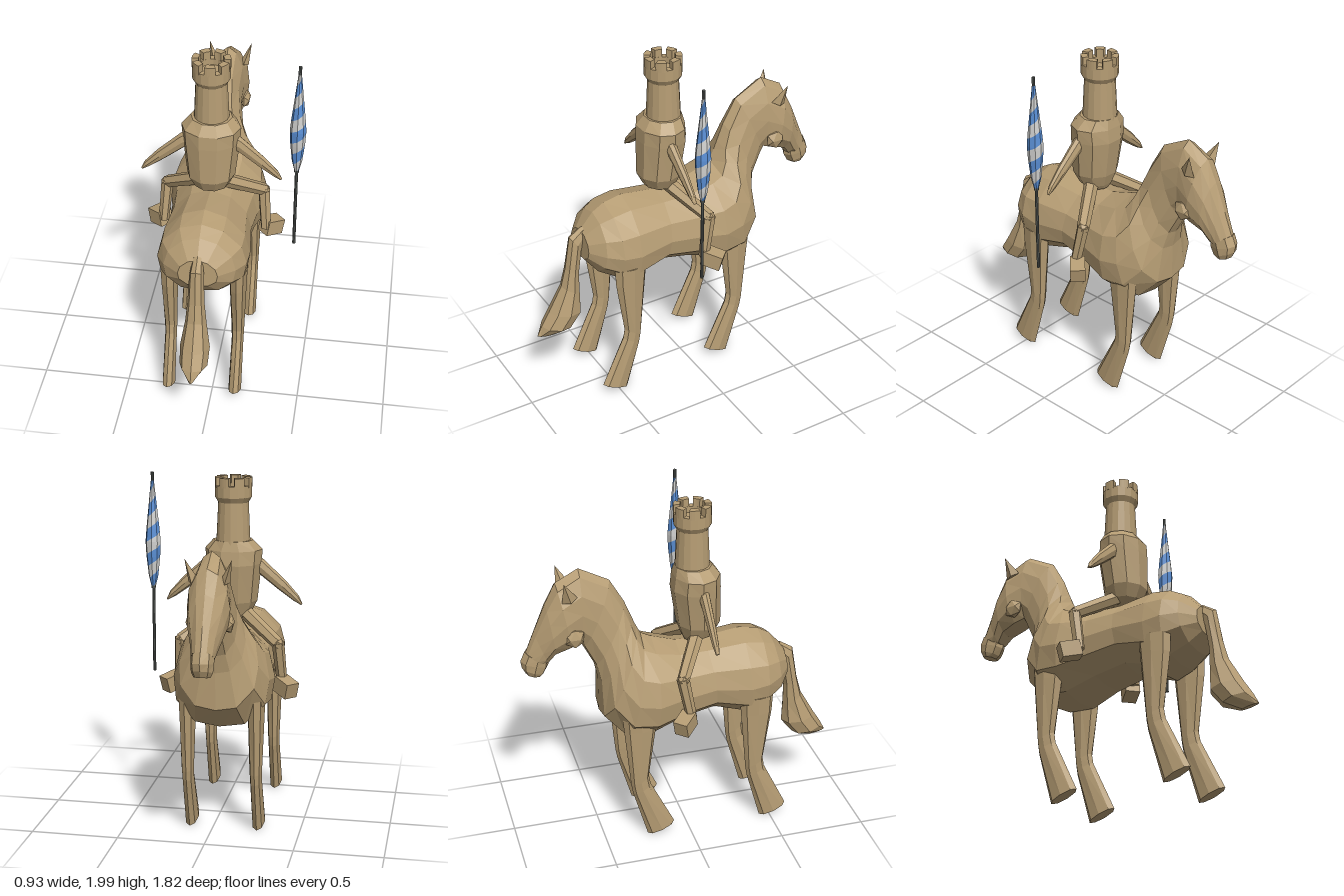
import * as THREE from 'three';

const mat = (name, color) => Object.assign(new THREE.MeshStandardMaterial({ color }), { name });
const MID = -0.06; // x of the rider and horse centre plane

// Flat-shaded mesh
function flat(name, geo, material) {
  const g = geo.index ? geo.toNonIndexed() : geo;
  g.computeVertexNormals();
  const m = new THREE.Mesh(g, material);
  m.name = name;
  return m;
}

// Closed solid through rings of points, always wound outward
function loft(rings) {
  const tris = [], n = rings[0].length;
  for (let i = 0; i < rings.length - 1; i++) for (let j = 0; j < n; j++) {
    const k = (j + 1) % n, a = rings[i][j], b = rings[i][k], c = rings[i + 1][k], d = rings[i + 1][j];
    tris.push([a, b, c], [a, c, d]);
  }
  const mean = r => r.reduce((s, p) => s.add(p), new THREE.Vector3()).divideScalar(n);
  const first = rings[0], last = rings[rings.length - 1], c0 = mean(first), c1 = mean(last);
  for (let j = 0; j < n; j++) {
    const k = (j + 1) % n;
    tris.push([c0, first[k], first[j]], [c1, last[j], last[k]]);
  }
  let vol = 0;
  for (const [a, b, c] of tris) vol += a.dot(b.clone().cross(c));
  if (vol < 0) tris.forEach(t => t.reverse());
  return new THREE.BufferGeometry().setFromPoints(tris.flat());
}

// Ring in a tilted plane: side-profile points top and bottom, half width w
const BARREL = [[0, 1], [0.48, 0.84], [0.88, 0.4], [1, -0.1], [0.93, -0.55], [0.52, -0.93], [0, -1]];
const OVAL = [[0, 1], [0.7, 0.72], [1, 0], [0.7, -0.72], [0, -1]];
function ring(half, x, [tz, ty, bz, by, w]) {
  const all = [...half, ...half.slice(1, -1).reverse().map(([u, v]) => [-u, v])];
  return all.map(([u, v]) => new THREE.Vector3(
    x + u * w, (ty + by) / 2 + v * (ty - by) / 2, (tz + bz) / 2 + v * (tz - bz) / 2));
}
const sideLoft = (half, x, rows) => loft(rows.map(r => ring(half, x, r)));

// Tapered bar between two points
function bar(from, to, r0, r1, sides) {
  const a = new THREE.Vector3(...from), b = new THREE.Vector3(...to), d = b.clone().sub(a);
  const g = new THREE.CylinderGeometry(r1, r0, d.length(), sides);
  g.rotateY(Math.PI / sides);
  g.applyQuaternion(new THREE.Quaternion().setFromUnitVectors(new THREE.Vector3(0, 1, 0), d.normalize()));
  const c = a.add(b).multiplyScalar(0.5);
  return g.translate(c.x, c.y, c.z);
}

function buildHorse(tan) {
  const horse = new THREE.Group();
  horse.name = 'horse';
  // Barrel, chest and neck: top z, top y, bottom z, bottom y, half width
  horse.add(flat('bodyAndNeck', sideLoft(BARREL, MID, [
    [0.61, 1.05, 0.62, 0.88, 0.11], [0.53, 1.14, 0.56, 0.8, 0.2], [0.46, 1.18, 0.46, 0.74, 0.25],
    [0.35, 1.2, 0.36, 0.7, 0.255], [0.13, 1.17, 0.17, 0.76, 0.235], [-0.03, 1.175, -0.02, 0.72, 0.25],
    [-0.17, 1.22, -0.2, 0.655, 0.285], [-0.23, 1.25, -0.36, 0.66, 0.27], [-0.26, 1.31, -0.48, 0.79, 0.22],
    [-0.28, 1.36, -0.48, 1.0, 0.15], [-0.32, 1.46, -0.5, 1.1, 0.11], [-0.4, 1.6, -0.56, 1.22, 0.09],
    [-0.57, 1.69, -0.57, 1.25, 0.095]]), tan));
  horse.add(flat('head', sideLoft(BARREL, MID, [
    [-0.57, 1.69, -0.57, 1.25, 0.095], [-0.7, 1.62, -0.63, 1.23, 0.115], [-0.76, 1.5, -0.72, 1.2, 0.1],
    [-0.83, 1.34, -0.76, 1.15, 0.072], [-0.88, 1.22, -0.775, 1.15, 0.062]]), tan));
  horse.add(flat('muzzle', sideLoft(OVAL, MID, [
    [-0.885, 1.225, -0.755, 1.16, 0.062], [-0.91, 1.17, -0.755, 1.13, 0.062],
    [-0.905, 1.13, -0.78, 1.085, 0.058], [-0.885, 1.09, -0.8, 1.07, 0.045]]), tan));
  // Tail
  horse.add(flat('tail', sideLoft(OVAL, MID, [
    [0.6, 1.07, 0.57, 1.0, 0.03], [0.68, 1.02, 0.61, 0.93, 0.04], [0.715, 0.82, 0.635, 0.78, 0.048],
    [0.745, 0.71, 0.635, 0.65, 0.06], [0.83, 0.56, 0.63, 0.53, 0.083], [0.88, 0.48, 0.7, 0.44, 0.078],
    [0.91, 0.42, 0.8, 0.4, 0.015]]), tan));
  for (const s of [-1, 1]) {
    const side = s > 0 ? 'left' : 'right';
    // Front legs repeat the hind legs further forward
    for (const [part, dz] of [['HindLeg', 0], ['FrontLeg', -0.69]]) {
      const rows = [[0.5, 0.85, 0.3, 0.85, 0.052], [0.495, 0.74, 0.31, 0.74, 0.048], [0.45, 0.42, 0.345, 0.37, 0.036],
        [0.46, 0.36, 0.355, 0.31, 0.034], [0.6, 0.07, 0.44, 0.01, 0.037]];
      horse.add(flat(side + part, sideLoft(OVAL, MID + s * 0.195,
        rows.map(([a, b, c, d, w]) => [a + dz, b, c + dz, d, w])), tan));
    }
    const ear = new THREE.ConeGeometry(0.045, 0.13, 4);
    ear.scale(0.6, 1, 1).rotateZ(-s * 0.3).rotateX(-0.3).translate(MID + s * 0.105, 1.605, -0.655);
    horse.add(flat(side + 'Ear', ear, tan));
    const cheek = new THREE.IcosahedronGeometry(0.06, 0);
    cheek.scale(0.6, 1, 1).translate(MID + s * 0.095, 1.32, -0.62);
    horse.add(flat(side + 'Cheek', cheek, tan));
  }
  return horse;
}

function buildRider(tan) {
  const rider = new THREE.Group();
  rider.name = 'rider';
  // Torso: y, half width, half depth, centre z
  const rows = [[1.18, 0.06, 0.06, 0.08], [1.21, 0.1, 0.095, 0.1], [1.28, 0.135, 0.125, 0.105],
    [1.5, 0.16, 0.14, 0.088], [1.58, 0.165, 0.133, 0.09], [1.635, 0.115, 0.105, 0.075]];
  rider.add(flat('torso', loft(rows.map(([y, w, d, z]) => Array.from({ length: 10 }, (_, i) => {
    const a = i * Math.PI / 5;
    return new THREE.Vector3(MID + w * Math.cos(a), y, z + d * Math.sin(a));
  }))), tan));
  // Tower head with a hollow rim
  const tower = [[0.1, 1.6], [0.097, 1.64], [0.087, 1.85], [0.105, 1.88], [0.105, 1.945], [0.068, 1.945], [0.068, 1.91], [0, 1.91]];
  const towerGeo = new THREE.LatheGeometry(tower.map(p => new THREE.Vector2(...p)), 16);
  rider.add(flat('towerHead', towerGeo.translate(MID, 0, 0.07), tan));
  // Battlements
  for (let i = 0; i < 7; i++) {
    const shape = new THREE.Shape(), a = i * Math.PI * 2 / 7;
    shape.absarc(0, 0, 0.105, a, a + 0.58, false);
    shape.absarc(0, 0, 0.068, a + 0.58, a, true);
    const g = new THREE.ExtrudeGeometry(shape, { depth: 0.055, bevelEnabled: false, curveSegments: 2 });
    rider.add(flat('battlement', g.rotateX(-Math.PI / 2).translate(MID, 1.935, 0.07), tan));
  }
  for (const s of [-1, 1]) {
    const side = s > 0 ? 'left' : 'right';
    const X = d => MID + s * d;
    // Tapered arm: outer edge, inner edge, half depth
    const arm = [[0.1, 1.57, 0.09, 1.44, 0.03], [0.17, 1.52, 0.15, 1.43, 0.03], [0.3, 1.4, 0.26, 1.345, 0.024],
      [0.375, 1.315, 0.345, 1.285, 0.018], [0.395, 1.27, 0.388, 1.262, 0.01]];
    rider.add(flat(side + 'Arm', loft(arm.map(([ox, oy, ix, iy, d]) => OVAL.concat(
      OVAL.slice(1, -1).reverse().map(([u, v]) => [-u, v])).map(([u, v]) => new THREE.Vector3(
      X((ox + ix) / 2 + v * (ox - ix) / 2), (oy + iy) / 2 + v * (oy - iy) / 2, 0.1 + u * d))), tan === null), tan));
    // Thigh, shin and boot
    rider.add(flat(side + 'Thigh', bar([X(0.06), 1.22, 0.08], [X(0.28), 1.07, -0.06], 0.042, 0.036, 6), tan));
    rider.add(flat(side + 'Knee', new THREE.IcosahedronGeometry(0.037, 0).translate(X(0.28), 1.07, -0.06), tan));
    rider.add(flat(side + 'Shin', bar([X(0.28), 1.08, -0.062], [X(0.3), 0.83, -0.015], 0.036, 0.03, 6), tan));
    const boot = new THREE.BoxGeometry(0.085, 0.09, 0.115);
    boot.rotateX(-0.25).rotateY(-s * 0.8).translate(X(0.328), 0.82, -0.06);
    rider.add(flat(side + 'Boot', boot, tan));
  }
  return rider;
}

function buildLance(dark, blue, white) {
  const lance = new THREE.Group();
  lance.name = 'lance';
  lance.add(flat('pole', new THREE.CylinderGeometry(0.009, 0.009, 1.17, 8).translate(0, 1.415, 0), dark));
  // Furled pennant: twisted columns give the spiral stripes
  const ROWS = 36, COLS = 8, TURNS = 4.5;
  const prof = [[1.335, 0.012], [1.4, 0.028], [1.52, 0.041], [1.6, 0.045], [1.68, 0.038], [1.8, 0.025], [1.98, 0.006]];
  const radius = y => {
    let i = 0;
    while (i < prof.length - 2 && y > prof[i + 1][0]) i++;
    const [[y0, r0], [y1, r1]] = [prof[i], prof[i + 1]];
    return r0 + (r1 - r0) * (y - y0) / (y1 - y0);
  };
  const point = (i, j) => {
    const t = i / ROWS, y = 1.335 + 0.645 * t, a = j / COLS * Math.PI * 2 + t * TURNS * Math.PI * 2;
    return new THREE.Vector3(radius(y) * Math.sin(a), y, radius(y) * Math.cos(a));
  };
  const stripe = [[], []];
  for (let i = 0; i < ROWS; i++) for (let j = 0; j < COLS; j++) {
    const a = point(i, j), b = point(i, j + 1), c = point(i + 1, j + 1), d = point(i + 1, j);
    stripe[j < COLS / 2 ? 0 : 1].push(a, b, d, b, c, d);
  }
  lance.add(flat('pennantBlueStripe', new THREE.BufferGeometry().setFromPoints(stripe[0]), blue));
  lance.add(flat('pennantPaleStripe', new THREE.BufferGeometry().setFromPoints(stripe[1]), white));
  lance.add(flat('pennantBase', new THREE.CylinderGeometry(0.014, 0.014, 0.02, 8).translate(0, 1.338, 0), dark));
  lance.position.set(0.415, 0, 0.105);
  return lance;
}

export function createModel() {
  const tan = mat('tan', 0xb69d74), dark = mat('dark grey', 0x5c605c);
  const blue = mat('blue', 0x5b90d6), white = mat('pale grey', 0xd2d2d0);
  const model = new THREE.Group();
  model.name = 'mountedRider';
  model.add(buildHorse(tan), buildRider(tan), buildLance(dark, blue, white));
  return model;
}
